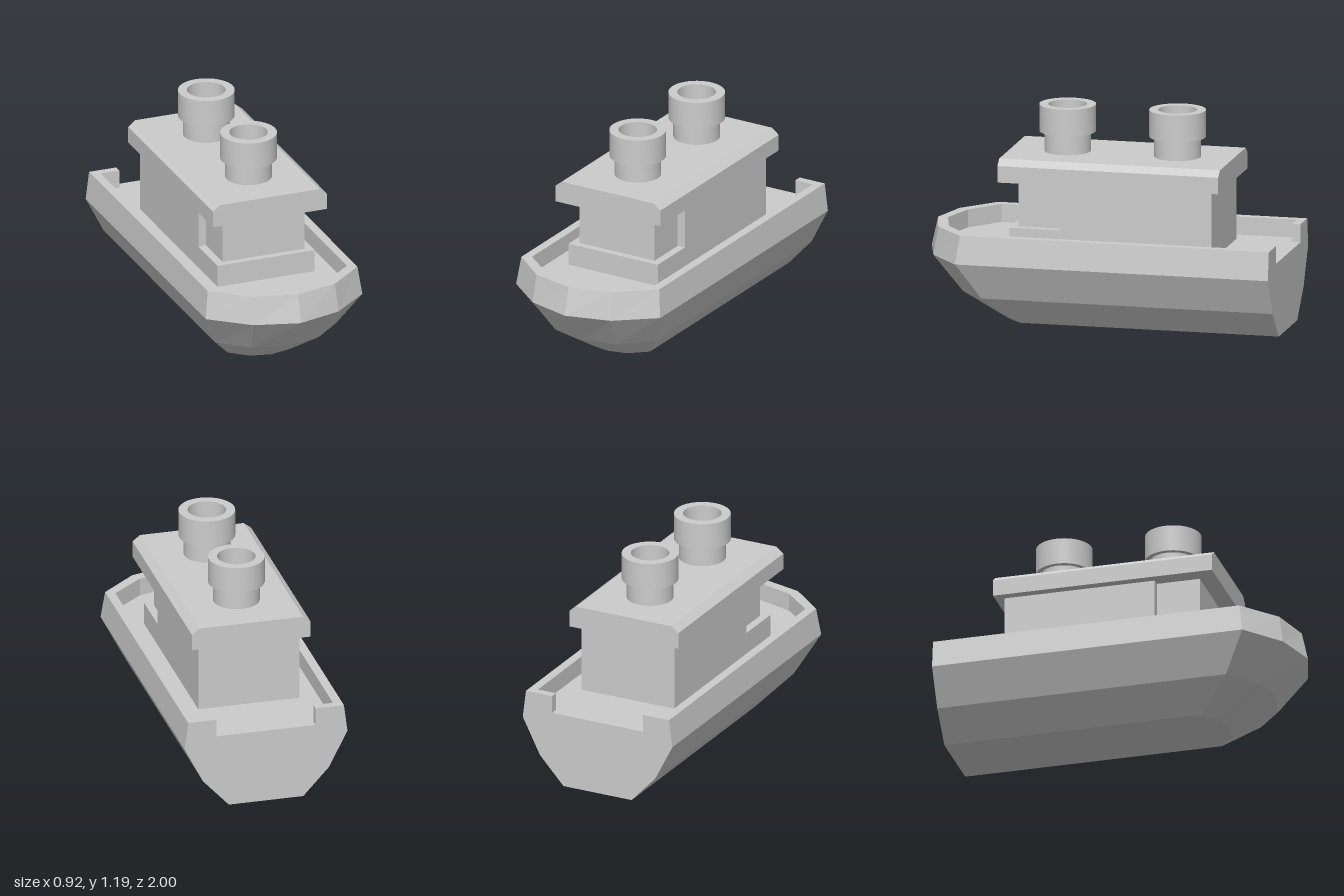
import * as THREE from 'three';
import { toCreasedNormals } from 'three/addons/utils/BufferGeometryUtils.js';

const DECK = 0.42, STERN = -1, STERN_WALL = 0.045;
const grey = new THREE.MeshStandardMaterial({ color: 0xcccccc });

// Half outlines: y, side x and z, shoulder x and z, bow tip z
const KEEL = [0, 0.21, 0.455, 0.115, 0.54, 0.565];
const CHINE = [0.157, 0.355, 0.635, 0.195, 0.777, 0.82];
const BELT = [0.363, 0.46, 0.757, 0.25, 0.93, 1];
const RAIL = [0.52, 0.44, 0.735, 0.24, 0.905, 0.965];
const INNER_RAIL = [0.52, 0.39, 0.705, 0.213, 0.85, 0.91];
const INNER_DECK = [DECK, ...INNER_RAIL.slice(1)];

// Full outline from the right stern corner, round the bow, to the left one
function outline([y, sx, sz, mx, mz, tz]) {
  const z0 = STERN + STERN_WALL;
  return [[-sx, y, z0], [-sx, y, sz], [-mx, y, mz], [0, y, tz], [mx, y, mz], [sx, y, sz], [sx, y, z0]];
}

// Hull skin, rail, inner bulwark and deck in one loft
function hullGeometry() {
  const rings = [KEEL, CHINE, BELT, RAIL, INNER_RAIL, INNER_DECK].map(outline);
  const pos = [];
  const tri = (a, b, c) => pos.push(...a, ...b, ...c);
  for (let r = 0; r < rings.length - 1; r++) {
    const a = rings[r], b = rings[r + 1];
    for (let i = 0; i < a.length - 1; i++) {
      tri(a[i], a[i + 1], b[i + 1]);
      tri(a[i], b[i + 1], b[i]);
    }
  }
  const bottom = rings[0], deck = rings[rings.length - 1];
  for (let i = 1; i < deck.length - 1; i++) {
    tri(bottom[0], bottom[i + 1], bottom[i]);
    tri(deck[0], deck[i], deck[i + 1]);
  }
  const g = new THREE.BufferGeometry();
  g.setAttribute('position', new THREE.Float32BufferAttribute(pos, 3));
  g.computeVertexNormals();
  return g;
}

// Mirrored cross-section extruded along z
function extrudeSection(half, z0, z1) {
  const pts = [...half, ...half.map(([x, y]) => [-x, y]).reverse()];
  const shape = new THREE.Shape(pts.map(([x, y]) => new THREE.Vector2(x, y)));
  return new THREE.ExtrudeGeometry(shape, { depth: z1 - z0, bevelEnabled: false }).translate(0, 0, z0);
}

function boxBetween(halfWidth, y0, y1, z0, z1) {
  return new THREE.BoxGeometry(halfWidth * 2, y1 - y0, z1 - z0).translate(0, (y0 + y1) / 2, (z0 + z1) / 2);
}

// Hollow funnel with a wide collar
function funnelGeometry() {
  const profile = [[0.128, 0.93], [0.128, 1.04], [0.155, 1.04], [0.155, 1.19], [0.105, 1.19], [0.105, 0.932], [0, 0.932]];
  const lathe = new THREE.LatheGeometry(profile.map(([r, y]) => new THREE.Vector2(r, y)), 48);
  return toCreasedNormals(lathe, 0.6);
}

export function createModel() {
  const model = new THREE.Group();
  model.name = 'boat';
  const add = (name, geometry) => {
    const mesh = new THREE.Mesh(geometry, grey);
    mesh.name = name;
    model.add(mesh);
    return mesh;
  };

  add('hull', hullGeometry());

  // Stern plate with the notch in the bulwark
  const sternHalf = [KEEL, CHINE, BELT, RAIL].map(([y, x]) => [x, y]);
  add('sternPlate', extrudeSection([...sternHalf, [0.28, 0.52], [0.28, DECK]], STERN, STERN + STERN_WALL));

  // Deckhouse
  add('cabin', boxBetween(0.285, DECK, 0.805, -0.64, 0.212));
  add('wheelhouse', boxBetween(0.24, 0.545, 0.805, 0.212, 0.455));
  add('cabinStep', boxBetween(0.285, DECK, 0.545, 0.212, 0.495));
  add('roof', extrudeSection([[0.335, 0.805], [0.335, 0.897], [0.293, 0.93]], -0.69, 0.55));

  // Funnels
  const funnel = funnelGeometry();
  add('frontFunnel', funnel).position.z = 0.237;
  add('rearFunnel', funnel).position.z = -0.38;

  return model;
}
